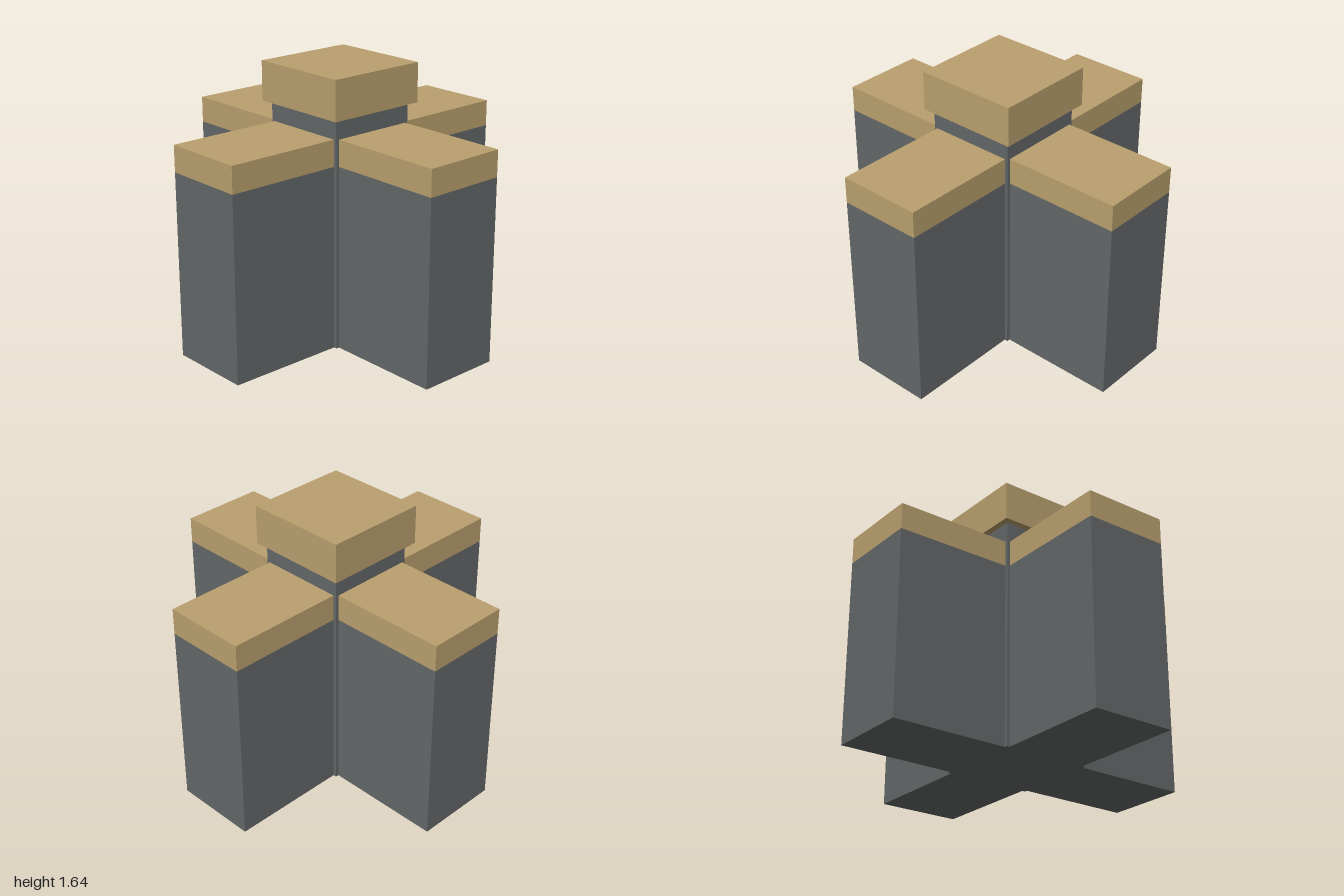
import * as THREE from 'three';

const stone = new THREE.MeshStandardMaterial({ color: 0x646869 });
stone.name = 'slate grey';
const sand = new THREE.MeshStandardMaterial({ color: 0xbaa06e });
sand.name = 'sand tan';

// Box standing on height y0, reaching y1, centred at z
function block(name, material, width, depth, y0, y1, z = 0) {
  const mesh = new THREE.Mesh(new THREE.BoxGeometry(width, y1 - y0, depth), material);
  mesh.name = name;
  mesh.position.set(0, (y0 + y1) / 2, z);
  return mesh;
}

export function createModel() {
  const model = new THREE.Group();
  model.name = 'crossTower';

  // Central shaft with an overhanging cap
  const core = 0.56;
  model.add(block('coreShaft', stone, core, core, 0, 1.4));
  model.add(block('coreCap', sand, 0.64, 0.64, 1.4, 1.64));

  // Four equal wings, each topped by a flush cap
  const length = 1 - core / 2;
  const centre = core / 2 + length / 2;
  ['front', 'left', 'back', 'right'].forEach((side, i) => {
    const wing = new THREE.Group();
    wing.name = side + 'Wing';
    wing.add(block(side + 'WingBody', stone, 0.52, length, 0, 1.12, centre));
    wing.add(block(side + 'WingCap', sand, 0.52, length, 1.12, 1.28, centre));
    wing.rotation.y = i * Math.PI / 2;
    model.add(wing);
  });

  return model;
}
